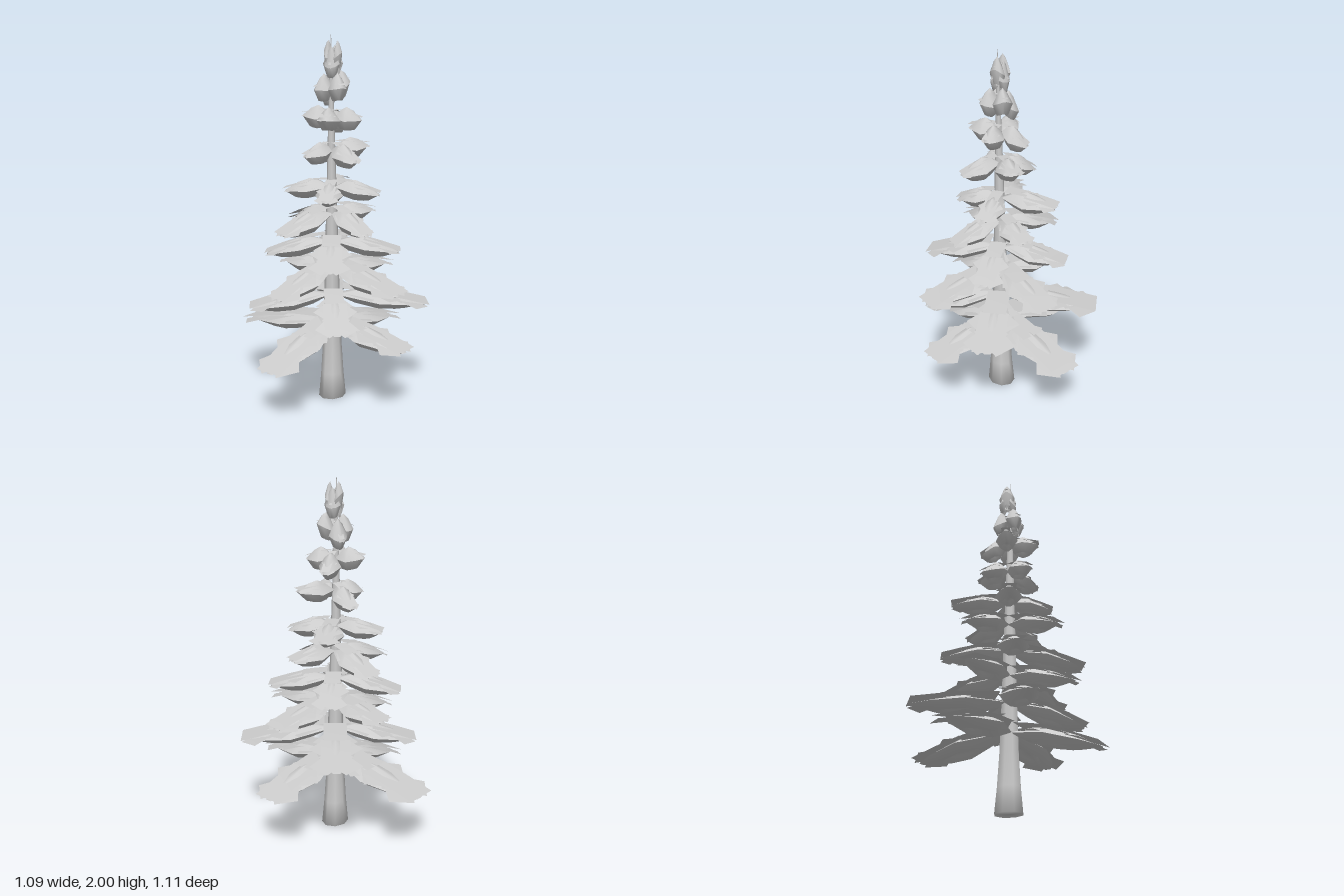
import * as THREE from 'three';
import { mergeGeometries } from 'three/addons/utils/BufferGeometryUtils.js';

const X0 = -0.01, Z0 = 0.06; // trunk axis

// Tiers from bottom to top: root height, four branch lengths, four tip heights,
// height of the bough above and below its rim
const TIERS = [
  [0.43, [0.555, 0.495, 0.535, 0.612], [0.34, 0.36, 0.28, 0.34], 0.045, 0.05],
  [0.60, [0.53, 0.43, 0.46, 0.54], [0.53, 0.49, 0.52, 0.55], 0.042, 0.05],
  [0.755, [0.445, 0.485, 0.42, 0.385], [0.70, 0.68, 0.64, 0.73], 0.042, 0.05],
  [0.90, [0.37, 0.42, 0.37, 0.37], [0.84, 0.82, 0.82, 0.84], 0.042, 0.05],
  [1.06, [0.29, 0.29, 0.355, 0.34], [1.04, 0.97, 0.97, 0.98], 0.045, 0.05],
  [1.20, [0.26, 0.25, 0.27, 0.32], [1.16, 1.15, 1.17, 1.18], 0.05, 0.05],
  [1.40, [0.23, 0.22, 0.18, 0.20], [1.41, 1.35, 1.37, 1.33], 0.055, 0.055],
  [1.57, [0.16, 0.18, 0.17, 0.16], [1.56, 1.57, 1.58, 1.51], 0.06, 0.06],
  [1.73, [0.10, 0.11, 0.11, 0.10], [1.76, 1.73, 1.72, 1.67], 0.075, 0.07],
  [1.88, [0.05, 0.05, 0.05, 0.05], [1.91, 1.83, 1.92, 1.84], 0.08, 0.075],
];

// Outline of a bough seen from above: [along, sideways]
const OUTLINE = [[0.04, 0.25], [0.47, 1], [0.8, 0.62], [0.98, 0.15],
  [0.98, -0.15], [0.8, -0.62], [0.47, -1], [0.04, -0.25]];
// Rings over the top, round the rim and into the pit below: [scale, share above, share below]
const RINGS = [[0.02, 1, 0], [0.45, 0.72, 0], [1, 0, 0], [1, 0, 0],
  [0.55, 0, 0.9], [0.4, 0, 0.4], [0.02, 0, 0.4]];

// Maps (along 0..1, sideways units, height) to space for one branch
function branchMap(angle, length, root, tip) {
  const c = Math.cos(angle), s = Math.sin(angle);
  return (t, side, h) => {
    const u = t * length;
    const y = root + (tip - root) * Math.sign(t) * Math.abs(t) ** 1.4 + h;
    return [X0 + c * u - s * side, y, Z0 + s * u + c * side];
  };
}

// Lens-shaped bough with a pit in its underside
function boughGeometry(map, length, above, below) {
  const width = 0.04 + 0.14 * length, n = OUTLINE.length;
  const pos = [], idx = [];
  RINGS.forEach(([k, up, down]) => OUTLINE.forEach(([t, s]) => {
    const h = above * up - below * down - 0.012 * Math.abs(s) * k;
    pos.push(...map(0.47 + (t - 0.47) * k, s * width * k, h));
  }));
  for (let r = 0; r < RINGS.length - 1; r++) {
    for (let j = 0; j < n; j++) {
      const a = r * n + j, d = r * n + (j + 1) % n;
      idx.push(a, a + n, d + n, a, d + n, d);
    }
  }
  const g = new THREE.BufferGeometry();
  g.setAttribute('position', new THREE.Float32BufferAttribute(pos, 3));
  g.setIndex(idx);
  g.computeVertexNormals();
  return g;
}

// Flat needle card laid along the branch; plan sizes are fractions of its length
function cardGeometry(map, length, [ct, cs, turn, len, wid, h]) {
  const g = new THREE.PlaneGeometry(len, wid, 2, 1);
  const p = g.attributes.position, c = Math.cos(turn), s = Math.sin(turn);
  for (let i = 0; i < p.count; i++) {
    const x = p.getX(i), z = -p.getY(i);
    const t = ct + x * c - z * s, side = cs + x * s + z * c;
    const fall = 0.04 * Math.max(0, t - 0.5) + 0.03 * Math.abs(side);
    p.setXYZ(i, ...map(t, side * length, h - fall));
  }
  g.deleteAttribute('uv');
  g.computeVertexNormals();
  return g;
}

// Card layout: one along the tip, one at the root, and mirrored side pairs
const CARDS = [[0.73, 0, 0, 0.54, 0.3, 0.04], [0.3, 0, 0, 0.38, 0.24, 0.046]];
for (const m of [1, -1]) {
  CARDS.push([0.77, 0.045 * m, 0.72 * m, 0.4, 0.23, 0.018]);
  CARDS.push([0.52, 0.08 * m, 0.8 * m, 0.34, 0.2, 0.026]);
  CARDS.push([0.3, 0.08 * m, 0.6 * m, 0.3, 0.16, 0.006]);
}

export function createModel() {
  const tree = new THREE.Group();
  tree.name = 'coniferTree';
  const material = new THREE.MeshStandardMaterial({ color: 0xcccccc, side: THREE.DoubleSide });

  // Tapered trunk, narrower front to back and leaning slightly towards its top
  const profile = [[0, 0], [0.082, 0], [0.068, 0.14], [0.056, 0.32], [0.046, 0.6], [0.035, 1],
    [0.023, 1.4], [0.012, 1.75], [0.001, 2]].map(([r, y]) => new THREE.Vector2(r, y));
  const trunkGeometry = new THREE.LatheGeometry(profile, 8);
  trunkGeometry.scale(1, 1, 0.87);
  const p = trunkGeometry.attributes.position;
  for (let i = 0; i < p.count; i++) p.setX(i, p.getX(i) - 0.009 * p.getY(i));
  const trunk = new THREE.Mesh(trunkGeometry, material);
  trunk.name = 'trunk';
  trunk.position.set(X0, 0, Z0);
  tree.add(trunk);

  // Tiers of four branches, each turned an eighth and a little more
  TIERS.forEach(([root, lengths, tips, above, below], k) => {
    const tier = new THREE.Group();
    tier.name = `branchTier${k + 1}`;
    const start = k % 2 * Math.PI / 4 + k * 0.055;
    lengths.forEach((length, i) => {
      const map = branchMap(start + i * Math.PI / 2, length, root, tips[i]);
      const bough = new THREE.Mesh(boughGeometry(map, length, above, below), material);
      bough.name = 'bough';
      const cards = CARDS.map((card) => cardGeometry(map, length, card));
      const needles = new THREE.Mesh(mergeGeometries(cards), material);
      needles.name = 'needles';
      tier.add(bough, needles);
    });
    tree.add(tier);
  });
  return tree;
}
